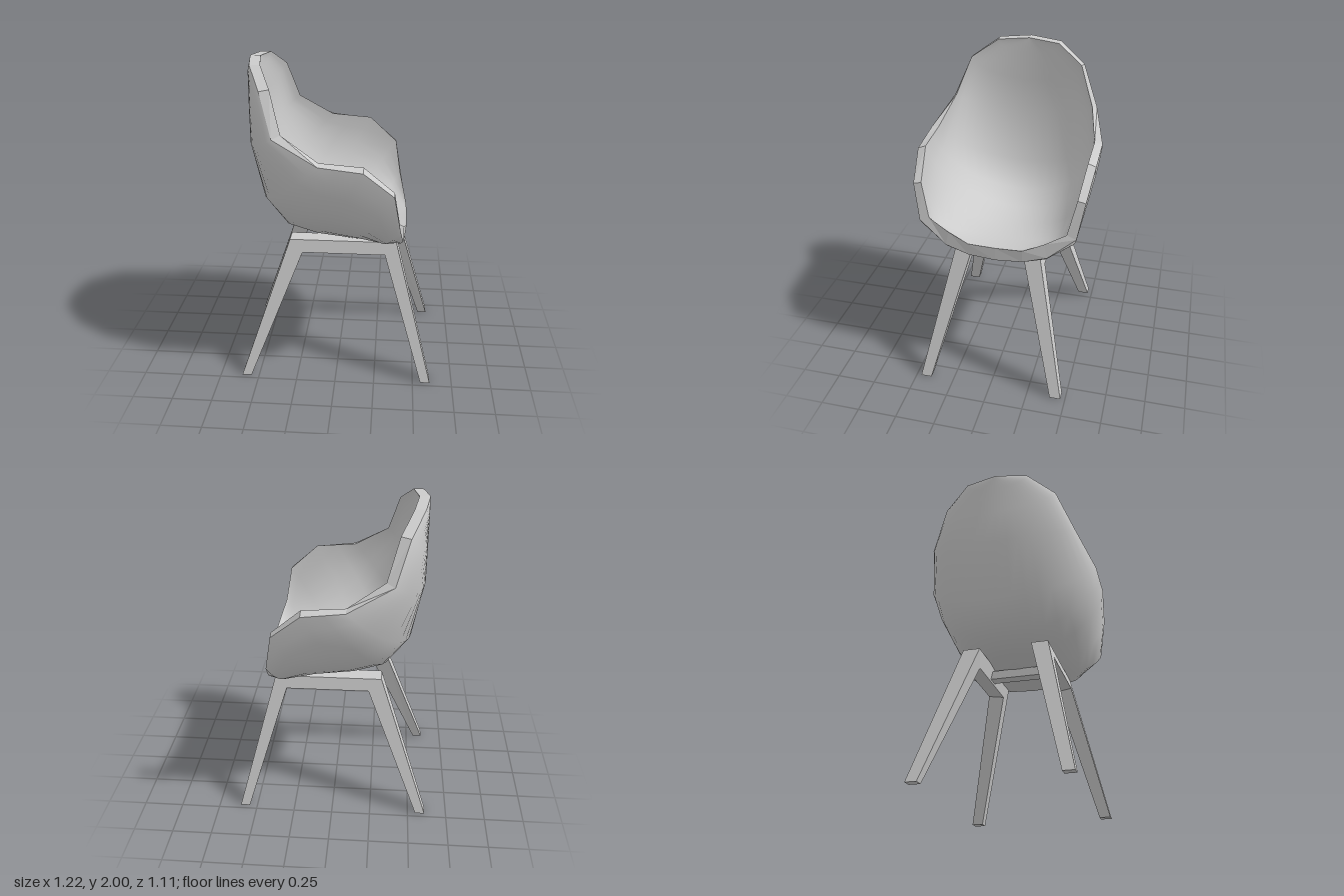
import * as THREE from 'three';

const grey = (extra = {}) => new THREE.MeshStandardMaterial({ color: 0xcccccc, ...extra });

// Stations from the top of the back to the front lip:
// rim x, y, half-width z, then the spine x, y on the centre line.
const OUTER = [
  [-0.55, 2.0, 0, -0.55, 2.0],
  [-0.52, 1.985, 0.2, -0.55, 1.9],
  [-0.44, 1.87, 0.37, -0.55, 1.72],
  [-0.36, 1.62, 0.475, -0.55, 1.5],
  [-0.09, 1.49, 0.555, -0.48, 1.13],
  [0.04, 1.475, 0.555, -0.34, 0.94],
  [0.17, 1.46, 0.555, -0.16, 0.88],
  [0.35, 1.31, 0.53, 0.06, 0.862],
  [0.39, 1.08, 0.49, 0.25, 0.862],
  [0.41, 0.935, 0.32, 0.36, 0.868],
  [0.42, 0.89, 0.17, 0.4, 0.874],
  [0.425, 0.88, 0, 0.425, 0.88],
];
const INNER = [
  [-0.485, 2.0, 0, -0.485, 2.0],
  [-0.455, 1.985, 0.2, -0.485, 1.9],
  [-0.38, 1.88, 0.36, -0.485, 1.72],
  [-0.31, 1.64, 0.45, -0.485, 1.5],
  [-0.09, 1.5, 0.505, -0.415, 1.16],
  [0.04, 1.49, 0.505, -0.29, 1.0],
  [0.17, 1.48, 0.505, -0.13, 0.95],
  [0.35, 1.32, 0.48, 0.06, 0.935],
  [0.385, 1.1, 0.43, 0.25, 0.94],
  [0.41, 1.03, 0.3, 0.36, 0.955],
  [0.43, 0.975, 0.17, 0.41, 0.965],
  [0.43, 0.97, 0, 0.43, 0.97],
];

// Surface through rows of points, optionally facing the other way
function gridGeometry(rows, flip = false) {
  const n = rows[0].length;
  const index = [];
  for (let i = 0; i < rows.length - 1; i++) {
    for (let j = 0; j < n - 1; j++) {
      const a = i * n + j, b = a + n, c = b + 1, d = a + 1;
      if (flip) index.push(a, d, b, b, d, c);
      else index.push(a, b, d, b, c, d);
    }
  }
  const geo = new THREE.BufferGeometry();
  geo.setAttribute('position', new THREE.Float32BufferAttribute(rows.flat(2), 3));
  geo.setIndex(index);
  geo.computeVertexNormals();
  return geo;
}

// A rounded U-shaped section from one rim point, under the spine, to the other
function sections(stations, steps = 20) {
  return stations.map(([rx, ry, rz, sx, sy]) =>
    Array.from({ length: steps + 1 }, (_, j) => {
      const t = (j / steps - 0.5) * Math.PI;
      const rise = 1 - Math.cos(t);
      return [sx + (rx - sx) * rise, sy + (ry - sy) * rise, rz * Math.sin(t)];
    }));
}

// Closed rim line: along +z to the front, back along -z
function rimLoop(stations) {
  const left = stations.map(([x, y, z]) => [x, y, z]);
  const right = stations.slice(0, -1).reverse().map(([x, y, z]) => [x, y, -z]);
  return [...left, ...right];
}

function createShell() {
  const shell = new THREE.Group();
  shell.name = 'seatShell';
  const add = (name, geo, material) => {
    const mesh = new THREE.Mesh(geo, material);
    mesh.name = name;
    shell.add(mesh);
  };
  add('shellOutside', gridGeometry(sections(OUTER)), grey());
  add('shellInside', gridGeometry(sections(INNER), true), grey());
  const inner = rimLoop(INNER);
  const rim = rimLoop(OUTER).map((p, i) => [p, inner[i]]);
  add('shellRim', gridGeometry(rim), grey({ flatShading: true }));
  return shell;
}

// Two splayed legs and the beam joining them, leaning outward towards the feet
function createLegFrame(side) {
  const outline = [
    [-0.61, 0], [-0.55, 0], [-0.22, 0.82], [0.3, 0.82],
    [0.55, 0], [0.61, 0], [0.37, 0.9], [-0.3, 0.9],
  ].map(([x, y]) => new THREE.Vector2(x, y));
  const geo = new THREE.ExtrudeGeometry(new THREE.Shape(outline), { depth: 1, bevelEnabled: false });
  const pos = geo.attributes.position;
  for (let i = 0; i < pos.count; i++) {
    const y = pos.getY(i);
    // Local depth 1 is the outer face for the left frame, the inner one for the right
    const outer = (pos.getZ(i) > 0.5) === (side > 0);
    const z = outer ? 0.47 - 0.222 * y : 0.4 - 0.262 * y;
    pos.setZ(i, side * z);
    if (!outer && Math.abs(y - 0.82) < 0.01) pos.setY(i, 0.803);
  }
  geo.computeVertexNormals();
  const frame = new THREE.Mesh(geo, grey({ flatShading: true }));
  frame.name = side > 0 ? 'leftLegFrame' : 'rightLegFrame';
  return frame;
}

export function createModel() {
  const chair = new THREE.Group();
  chair.name = 'tubChair';
  chair.add(createShell());
  for (const side of [1, -1]) chair.add(createLegFrame(side));

  // Bar under the seat joining the two leg frames
  const bar = new THREE.Mesh(new THREE.BoxGeometry(0.08, 0.055, 0.4), grey());
  bar.name = 'crossBar';
  bar.position.set(0.04, 0.843, 0);
  chair.add(bar);
  return chair;
}
